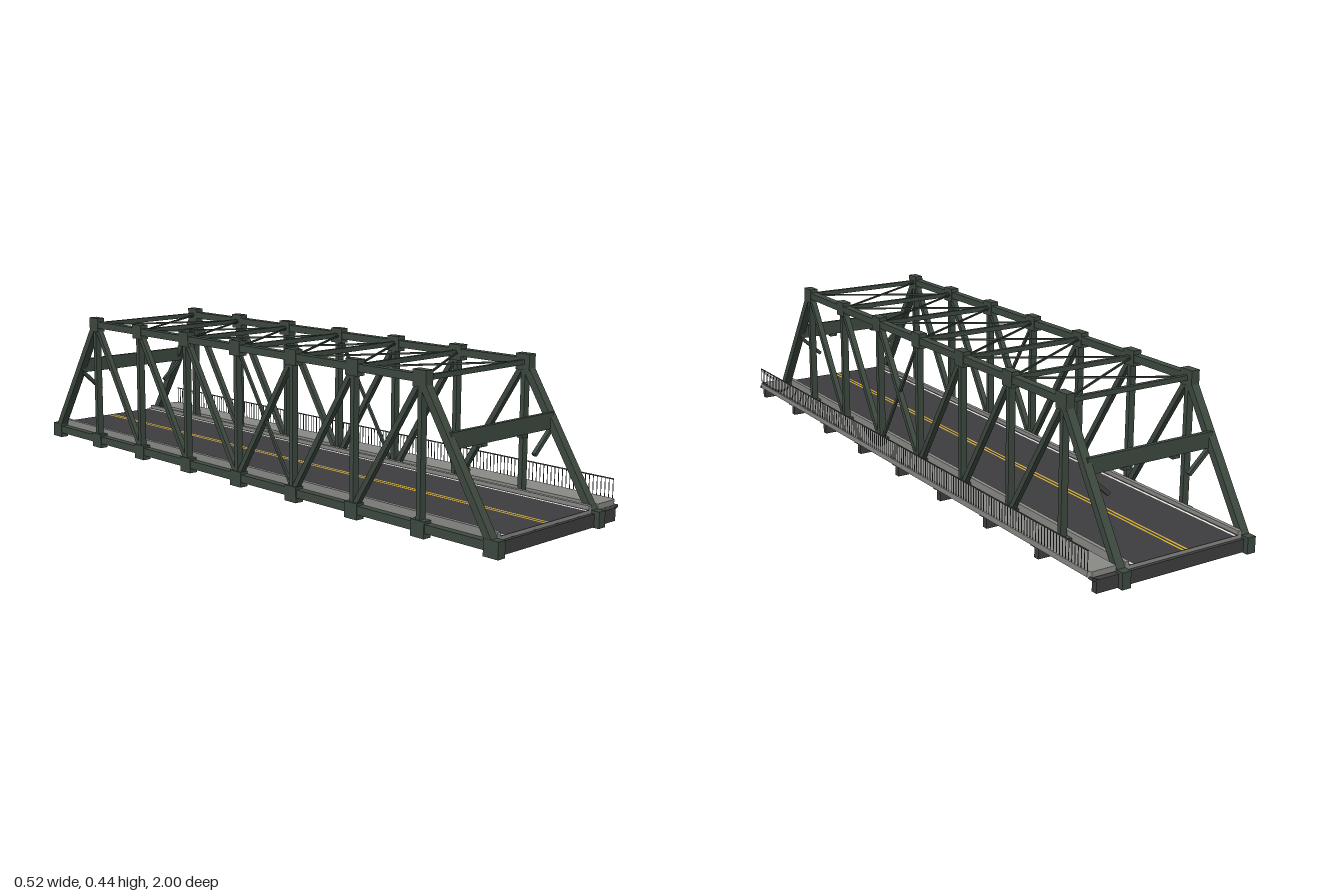
import * as THREE from 'three';

const mat = (name, color) => {
  const m = new THREE.MeshStandardMaterial({ color });
  m.name = name;
  return m;
};

export function createModel() {
  const green = mat('truss green', 0x3e4a40);
  const asphalt = mat('asphalt', 0x3d3d3f);
  const steel = mat('dark floor steel', 0x3f3f40);
  const concrete = mat('concrete', 0x8a8a87);
  const white = mat('white paint', 0xeeeeea);
  const yellow = mat('yellow paint', 0xdcae2c);
  const railing = mat('railing metal', 0x4a4d4f);

  const model = new THREE.Group();
  model.name = 'trussBridge';
  const group = (name) => {
    const g = new THREE.Group();
    g.name = name;
    model.add(g);
    return g;
  };

  // Box given by its limits on each axis
  const box = (parent, name, m, x0, x1, y0, y1, z0, z1) => {
    const mesh = new THREE.Mesh(new THREE.BoxGeometry(x1 - x0, y1 - y0, z1 - z0), m);
    mesh.position.set((x0 + x1) / 2, (y0 + y1) / 2, (z0 + z1) / 2);
    mesh.name = name;
    parent.add(mesh);
  };
  // Straight bar between two points
  const bar = (parent, name, m, a, b, w, h) => {
    const p = new THREE.Vector3(...a), q = new THREE.Vector3(...b);
    const mesh = new THREE.Mesh(new THREE.BoxGeometry(w, h, p.distanceTo(q)), m);
    mesh.position.copy(p).add(q).multiplyScalar(0.5);
    mesh.lookAt(q);
    mesh.name = name;
    parent.add(mesh);
  };

  const XL = 0.1635, XR = -0.2485, MID = (XL + XR) / 2;
  const PANEL = 0.244, TOP = 0.415, BOT = 0.027, END = 4 * PANEL, SHOULDER = 3 * PANEL;
  const deckEnd = 0.975;

  // Two side trusses
  for (const [x, name] of [[XL, 'leftTruss'], [XR, 'rightTruss']]) {
    const t = group(name);
    bar(t, 'bottomChord', green, [x, BOT, -END], [x, BOT, END], 0.022, 0.024);
    bar(t, 'topChord', green, [x, TOP, -SHOULDER], [x, TOP, SHOULDER], 0.024, 0.021);
    for (let i = -4; i <= 4; i++) {
      const z = i * PANEL;
      box(t, 'bottomGusset', green, x - 0.0135, x + 0.0135, 0, 0.046, z - 0.024, z + 0.024);
      if (Math.abs(i) === 4) continue;
      box(t, 'topGusset', green, x - 0.0135, x + 0.0135, 0.392, 0.437, z - 0.023, z + 0.023);
      bar(t, 'vertical', green, [x, BOT, z], [x, TOP, z], 0.021, 0.014);
    }
    for (const s of [-1, 1]) {
      bar(t, 'endPost', green, [x, BOT, s * END], [x, TOP, s * SHOULDER], 0.025, 0.021);
      for (let i = 1; i <= 3; i++) {
        bar(t, 'diagonal', green, [x, TOP, s * i * PANEL], [x, BOT, s * (i - 1) * PANEL], 0.017, 0.015);
      }
    }
    bar(t, 'counterDiagonal', green, [x, TOP, 0], [x, BOT, PANEL], 0.008, 0.008);
  }

  // Overhead struts and crossed lateral bracing
  const overhead = group('overheadBracing');
  for (let i = -3; i <= 3; i++) {
    const z = i * PANEL;
    box(overhead, 'topStrut', green, XR, XL, 0.407, 0.421, z - 0.006, z + 0.006);
    if (i === 3) continue;
    bar(overhead, 'lateralBrace', green, [XR, 0.414, z], [XL, 0.414, z + PANEL], 0.005, 0.005);
    bar(overhead, 'lateralBrace', green, [XL, 0.414, z], [XR, 0.414, z + PANEL], 0.005, 0.005);
  }

  // End portals with knee braces and small clearance blocks
  for (const s of [-1, 1]) {
    const portal = group(s > 0 ? 'frontPortal' : 'backPortal');
    const z = s * 0.826;
    box(portal, 'portalBeam', green, XR, XL, 0.243, 0.288, z - 0.006, z + 0.006);
    for (const side of [-1, 1]) {
      bar(portal, 'kneeBrace', green, [MID + side * 0.2, 0.239, z], [MID + side * 0.134, 0.179, z], 0.012, 0.011);
      const x = MID + side * 0.082;
      box(portal, 'clearanceBlock', green, x - 0.012, x + 0.012, 0.235, 0.244, z - 0.008, z + 0.008);
    }
  }

  // Floor beams, sidewalk brackets and stringers
  const floor = group('floorSystem');
  for (let i = -4; i <= 4; i++) {
    const z = i * PANEL;
    box(floor, 'floorBeam', steel, XR, 0.245, 0.002, 0.038, z - 0.009, z + 0.009);
    bar(floor, 'sidewalkBracket', steel, [0.236, 0.034, z], [0.257, 0.042, z], 0.016, 0.007);
  }
  for (const x of [-0.177, -0.089, 0.003, 0.091]) {
    box(floor, 'stringer', steel, x - 0.0065, x + 0.0065, 0.018, 0.04, -deckEnd, deckEnd);
  }

  // Road deck, surface, curbs and flat painted lines
  const road = group('road');
  box(road, 'deckSlab', concrete, -0.235, 0.15, 0.038, 0.0475, -deckEnd, deckEnd);
  box(road, 'roadSurface', asphalt, -0.223, 0.138, 0.0475, 0.0485, -deckEnd, deckEnd);
  const line = (name, m, x, w) => {
    const mesh = new THREE.Mesh(new THREE.PlaneGeometry(w, 2 * deckEnd), m);
    mesh.rotation.x = -Math.PI / 2;
    mesh.position.set(x, 0.0492, 0);
    mesh.name = name;
    road.add(mesh);
  };
  for (const s of [-1, 1]) {
    const x = MID + s * 0.1865;
    box(road, 'curb', concrete, x - 0.006, x + 0.006, 0.0475, 0.06, -deckEnd, deckEnd);
    line('edgeLine', white, MID + s * 0.17, 0.007);
    line('centreLine', yellow, MID + s * 0.0065, 0.006);
  }

  // Sidewalk slab on the left side, outer corners cut
  const walk = group('sidewalk');
  const cut = 0.008, inner = 0.178, outer = 0.26;
  const plan = new THREE.Shape([
    [inner, -deckEnd], [outer - cut, -deckEnd], [outer, -deckEnd + cut],
    [outer, deckEnd - cut], [outer - cut, deckEnd], [inner, deckEnd],
  ].map(([x, y]) => new THREE.Vector2(x, y)));
  const slab = new THREE.Mesh(
    new THREE.ExtrudeGeometry(plan, { depth: 0.016, bevelEnabled: false }), concrete);
  slab.rotation.x = -Math.PI / 2;
  slab.position.y = 0.042;
  slab.name = 'walkSlab';
  walk.add(slab);

  // Thin railing with close pickets along the outer edge
  const rail = group('railing');
  const rx = 0.258, n = 150, w = 0.0008;
  box(rail, 'topRail', railing, rx - 0.0015, rx + 0.0015, 0.110, 0.113, -0.966, 0.966);
  for (let i = 0; i <= n; i++) {
    const z = -0.965 + (1.93 * i) / n;
    box(rail, 'picket', railing, rx - w, rx + w, 0.057, 0.111, z - w, z + w);
  }
  return model;
}
